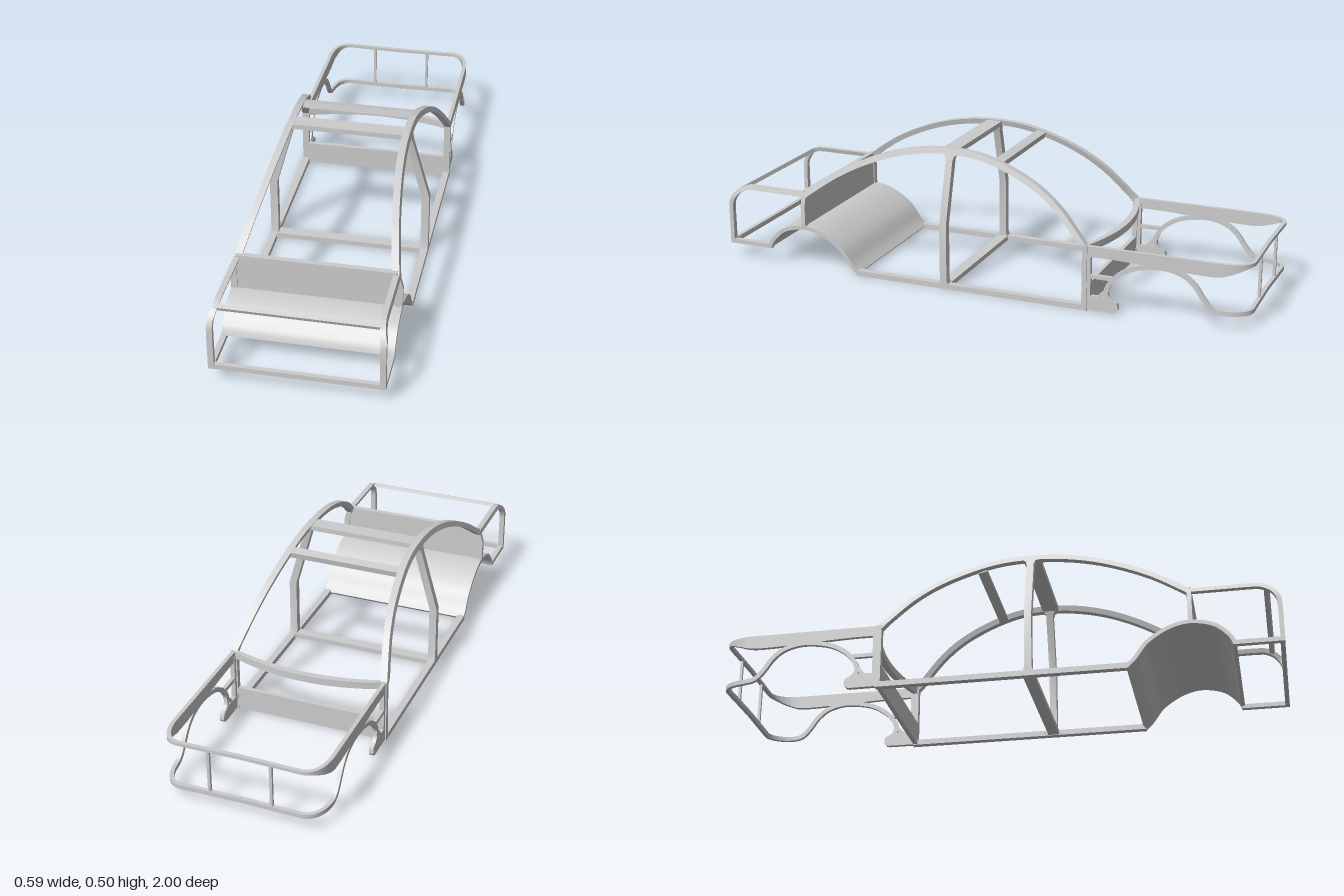
import * as THREE from 'three';
import { toCreasedNormals } from 'three/addons/utils/BufferGeometryUtils.js';

const material = new THREE.MeshStandardMaterial({ color: 0xcccccc });
const V2 = (p) => new THREE.Vector2(p[0], p[1]);

// Half width of the body: upright below the belt line, leaning inwards above it
const halfWidth = (y) => 0.294 - Math.max(0, y - 0.24) * 0.28;

// Body side: u runs along z, d goes inwards from the outer skin
const sideMap = (sign) => (u, y, d) => [sign * (halfWidth(y) - d), y, u];

// Rear frame: u is the distance along a rounded plan, from the rear pillar to the centre line
const plan = new THREE.Path();
plan.moveTo(0.29, -0.42).lineTo(0.288, -0.88);
plan.bezierCurveTo(0.288, -0.95, 0.26, -0.998, 0.215, -0.998).lineTo(0, -0.994);
const planLength = plan.getLength();
const rearMap = (sign) => (u, y, d) => {
  const t = THREE.MathUtils.clamp(u / planLength, 0, 1);
  const p = plan.getPoint(t);
  const dir = plan.getPoint(Math.min(1, t + 0.004)).sub(plan.getPoint(Math.max(0, t - 0.004))).normalize();
  return [sign * (p.x + dir.y * d), y, p.y - dir.x * d];
};

// Solid strip between two matching edge lines, given a thickness and mapped into space
function ribbon(edgeA, edgeB, map, thick) {
  const rings = edgeA.map((a, i) => {
    const b = edgeB[i];
    return [map(a.x, a.y, 0), map(b.x, b.y, 0), map(b.x, b.y, thick), map(a.x, a.y, thick)]
      .map((c) => new THREE.Vector3(...c));
  });
  const tris = [];
  const quad = (a, b, c, d) => tris.push([a, b, c], [a, c, d]);
  for (let i = 0; i < rings.length - 1; i++) {
    for (let k = 0; k < 4; k++) {
      const n = (k + 1) % 4;
      quad(rings[i][k], rings[i][n], rings[i + 1][n], rings[i + 1][k]);
    }
  }
  const [s, e] = [rings[0], rings[rings.length - 1]];
  quad(s[3], s[2], s[1], s[0]);
  quad(e[0], e[1], e[2], e[3]);
  // Turn the faces outwards whichever way the strip was mapped
  const volume = tris.reduce((v, [a, b, c]) => v + a.dot(b.clone().cross(c)), 0);
  const pos = tris.flatMap((t) => (volume < 0 ? [t[0], t[2], t[1]] : t)).flatMap((p) => p.toArray());
  const geo = new THREE.BufferGeometry();
  geo.setAttribute('position', new THREE.Float32BufferAttribute(pos, 3));
  return toCreasedNormals(geo, 0.6);
}

// Strip of even width along a line through the points (curved when n is given)
function stroke(points, width, map, thick, n = 0) {
  const pts = n ? new THREE.SplineCurve(points.map(V2)).getSpacedPoints(n) : points.map(V2);
  const offset = (side) => pts.map((p, i) => {
    const t = pts[Math.min(i + 1, pts.length - 1)].clone().sub(pts[Math.max(i - 1, 0)]).normalize();
    return new THREE.Vector2(p.x - t.y * side, p.y + t.x * side);
  });
  return ribbon(offset(width / 2), offset(-width / 2), map, thick);
}

const roofLine = [[0.685, 0.278], [0.55, 0.372], [0.4, 0.443], [0.26, 0.482], [0.12, 0.495],
  [-0.02, 0.482], [-0.18, 0.425], [-0.3, 0.348], [-0.412, 0.232]];
const wheelArch = [[0.83, 0.066], [0.815, 0.095], [0.765, 0.138], [0.685, 0.156], [0.61, 0.14],
  [0.535, 0.093], [0.49, 0.035], [0.462, 0.008]];
const noseLine = [[0.685, 0.281], [0.8, 0.281], [0.9, 0.281], [0.935, 0.276], [0.967, 0.257],
  [0.988, 0.225], [0.992, 0.19], [0.992, 0.13], [0.992, 0.058]];
const rearArch = [[0.11, 0.035], [0.085, 0.05], [0.073, 0.075], [0.085, 0.11], [0.12, 0.148], [0.18, 0.18],
  [0.27, 0.194], [0.34, 0.18], [0.385, 0.148], [0.42, 0.1], [0.45, 0.07], [0.49, 0.062], [0.56, 0.062],
  [0.64, 0.062], [planLength, 0.062]];

export function createModel() {
  const model = new THREE.Group();
  model.name = 'carBodyFrame';
  const add = (parent, name, geo) => {
    const mesh = new THREE.Mesh(geo, material);
    mesh.name = name;
    parent.add(mesh);
    return mesh;
  };

  for (const sign of [1, -1]) {
    const side = new THREE.Group();
    side.name = sign > 0 ? 'leftSide' : 'rightSide';
    model.add(side);
    const body = sideMap(sign);
    const rear = rearMap(sign);

    // Cabin side
    add(side, 'roofRail', stroke(roofLine, 0.02, body, 0.025, 48));
    add(side, 'sill', stroke([[0.468, 0.01], [-0.425, 0.01]], 0.02, body, 0.025));
    const pillar = [[0.035, 0.01], [0.018, 0.018], [0.013, 0.035], [0.013, 0.24],
      [0.013, 0.465], [0.018, 0.48], [0.035, 0.49]];
    add(side, 'centrePillar', ribbon(pillar.map(([w, y]) => V2([0.12 - w, y])),
      pillar.map(([w, y]) => V2([0.12 + w, y])), body, 0.028));
    add(side, 'rearPillar', stroke([[-0.415, 0.005], [-0.415, 0.238]], 0.018, body, 0.025));

    // Nose side
    add(side, 'frontPost', stroke([[0.685, 0.155], [0.685, 0.24], [0.685, 0.285]], 0.016, body, 0.022));
    add(side, 'noseRail', stroke(noseLine, 0.016, body, 0.02, 48));
    add(side, 'noseBottomRail', stroke([[1, 0.065], [0.825, 0.065]], 0.016, body, 0.02));

    // Rear side: tapering top rail, wheel arch running into the lower rail, and brackets
    const lower = new THREE.SplineCurve([[0, 0.2], [0.1, 0.2], [0.25, 0.194], [0.4, 0.188], [0.47, 0.19],
      [0.52, 0.205], [0.58, 0.224], [0.66, 0.226], [planLength, 0.226]].map(V2)).getSpacedPoints(56);
    const upper = lower.map((p) => V2([p.x, 0.238]));
    add(side, 'rearTopRail', ribbon(upper, lower, rear, 0.014));
    add(side, 'rearWheelArch', stroke(rearArch, 0.016, rear, 0.014, 90));
    add(side, 'rearInnerPost', stroke([[0.008, 0.005], [0.008, 0.22]], 0.018, rear, 0.016));
    add(side, 'bracketRung', stroke([[0.01, 0.128], [0.095, 0.128]], 0.014, rear, 0.014));
    add(side, 'bracketStrut', stroke([[0.035, 0.04], [0.08, 0.09]], 0.014, rear, 0.014));
    add(side, 'bracketFoot', ribbon([[0, 0.055], [0.08, 0.058], [0.1, 0.045], [0.113, 0.042], [0.118, 0.03]].map(V2),
      [[0, 0.005], [0.08, 0.005], [0.1, 0.005], [0.11, 0.008], [0.118, 0.018]].map(V2), rear, 0.016));
    const post = add(side, 'tailPost', new THREE.BoxGeometry(0.01, 0.17, 0.01));
    post.position.set(sign * 0.11, 0.145, -0.988);
  }

  // Front wheel housing sheet, spanning both sides
  add(model, 'frontWheelHousing', stroke(wheelArch, 0.014, (u, y, d) => [0.293 - d, y, u], 0.586, 40));

  // Curved shelf behind the cabin
  const arc = (z, bulge) => Array.from({ length: 25 }, (_, i) => {
    const k = i / 12 - 1;
    return V2([k * 0.286, z - bulge * (1 - k * k)]);
  });
  add(model, 'rearShelfBow', ribbon(arc(-0.422, 0.058), arc(-0.406, 0.05), (u, v, d) => [u, 0.239 - d, v], 0.026));

  // Straight members across the body: name, width, height, depth, y, z, tilt
  const crossMembers = [
    ['firewall', 0.56, 0.13, 0.008, 0.22, 0.685, 0],
    ['cowlBar', 0.55, 0.016, 0.02, 0.288, 0.682, 0],
    ['noseTopBar', 0.55, 0.014, 0.016, 0.272, 0.95, 0.4],
    ['noseBottomBar', 0.56, 0.018, 0.016, 0.066, 0.991, 0],
    ['roofBarFront', 0.412, 0.018, 0.06, 0.493, 0.125, 0],
    ['roofBarRear', 0.425, 0.022, 0.034, 0.468, -0.06, -0.22],
    ['floorBar', 0.56, 0.018, 0.04, 0.011, 0.12, 0],
    ['rearBulkhead', 0.56, 0.085, 0.016, 0.045, -0.414, 0],
  ];
  for (const [name, w, h, d, y, z, tilt] of crossMembers) {
    const bar = add(model, name, new THREE.BoxGeometry(w, h, d));
    bar.position.set(0, y, z);
    bar.rotation.x = tilt;
  }
  return model;
}
